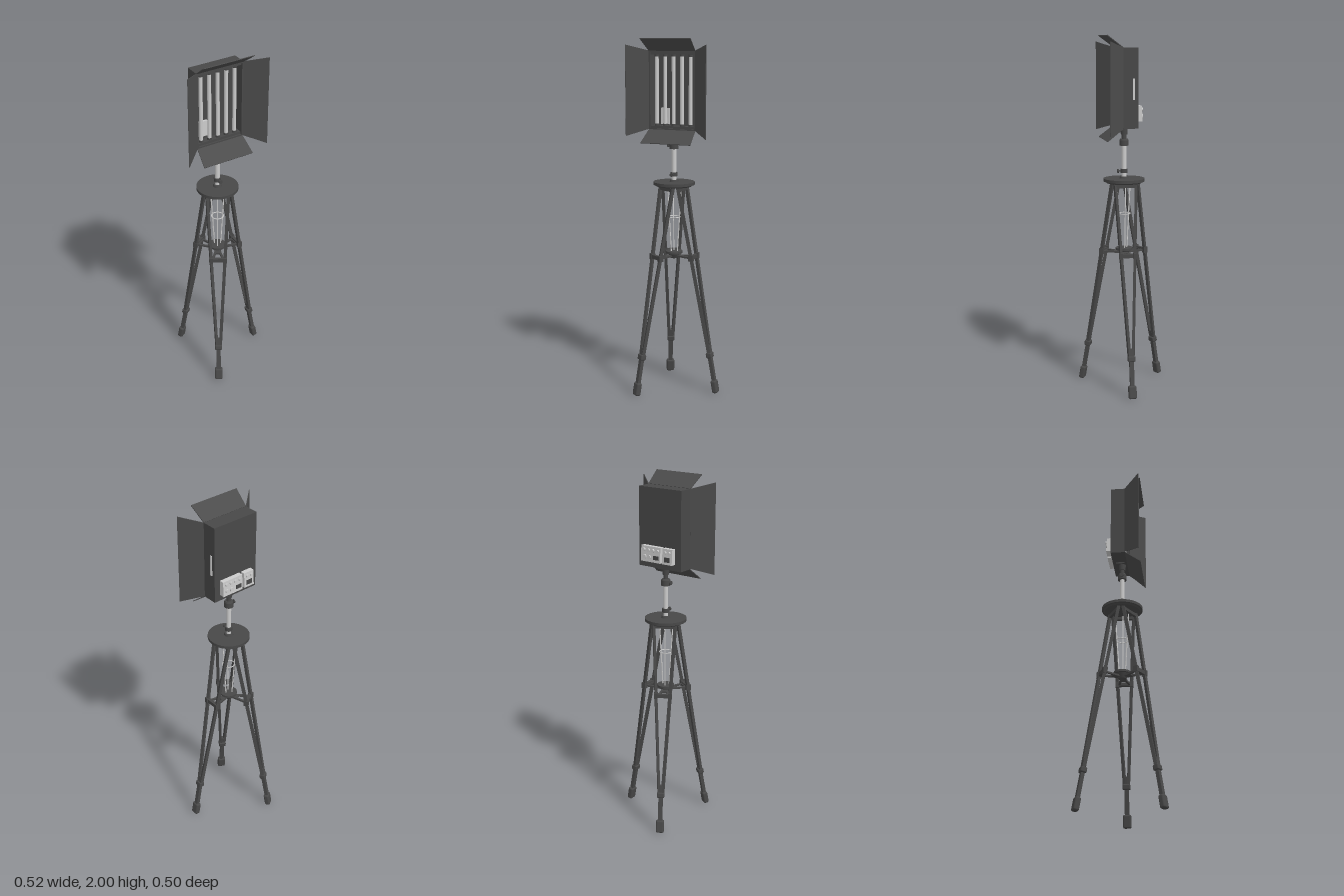
import * as THREE from 'three';
import { RoundedBoxGeometry } from 'three/addons/geometries/RoundedBoxGeometry.js';

const AXIS_X = -0.018; // the stand's centre line
const dark = new THREE.MeshStandardMaterial({ color: 0x484848 });
const doorMat = new THREE.MeshStandardMaterial({ color: 0x4c4c4c, side: THREE.DoubleSide });
const grey = new THREE.MeshStandardMaterial({ color: 0xcccccc });
const V = (x, y, z) => new THREE.Vector3(x, y, z);

function add(parent, name, geometry, material, x = 0, y = 0, z = 0) {
  const mesh = new THREE.Mesh(geometry, material);
  mesh.name = name;
  mesh.position.set(x, y, z);
  parent.add(mesh);
  return mesh;
}
const box = (parent, name, mat, w, h, d, x, y, z) =>
  add(parent, name, new THREE.BoxGeometry(w, h, d), mat, x, y, z);
const cyl = (parent, name, mat, rTop, rBottom, h, x, y, z, sides = 24) =>
  add(parent, name, new THREE.CylinderGeometry(rTop, rBottom, h, sides), mat, x, y, z);

// Straight piece whose length runs from a to b
function beam(parent, name, mat, a, b, w, d, radius = 0) {
  const len = a.distanceTo(b);
  const geo = radius ? new RoundedBoxGeometry(w, d, len, 3, radius) : new THREE.BoxGeometry(w, d, len);
  const mesh = add(parent, name, geo, mat);
  mesh.position.copy(a).lerp(b, 0.5);
  mesh.lookAt(b);
  return mesh;
}

// Point on the leg's centre line at height y, shifted sideways by t
const onLeg = (y, t = 0) => V(0.05 + (1.185 - y) * 0.181, y, t);

function makeLeg() {
  const leg = new THREE.Group();
  leg.name = 'leg';
  for (const s of [-1, 1]) {
    beam(leg, 'legRail', dark, onLeg(0.24, s * 0.011), onLeg(1.188, s * 0.06), 0.015, 0.018);
  }
  beam(leg, 'topCrossbar', dark, onLeg(1.172, -0.06), onLeg(1.172, 0.06), 0.016, 0.018);
  beam(leg, 'middleCrossbar', dark, onLeg(0.79, -0.043), onLeg(0.79, 0.043), 0.018, 0.022);
  for (const s of [-1, 1]) box(leg, 'railBracket', dark, 0.026, 0.034, 0.02, 0.122, 0.79, s * 0.04);
  // Sliding lower section, clamp and rubber foot
  beam(leg, 'lowerLeg', dark, onLeg(0.05), onLeg(0.28), 0.024, 0.02);
  beam(leg, 'legClamp', dark, onLeg(0.21), onLeg(0.24), 0.042, 0.034, 0.006);
  beam(leg, 'foot', dark, onLeg(0.005), onLeg(0.078), 0.046, 0.032, 0.01);
  // Flat spreader arm to the hub
  const arm = new THREE.Shape([[0.02, -0.014], [0.118, -0.036], [0.118, 0.036], [0.02, 0.014]]
    .map(([x, y]) => new THREE.Vector2(x, y)));
  const hole = new THREE.Path([[0.06, -0.01], [0.06, 0.01], [0.106, 0.022], [0.106, -0.022]]
    .map(([x, y]) => new THREE.Vector2(x, y)));
  arm.holes.push(hole);
  const plate = add(leg, 'spreaderArm',
    new THREE.ExtrudeGeometry(arm, { depth: 0.01, bevelEnabled: false }), dark, 0, 0.792, 0);
  plate.rotation.x = Math.PI / 2;
  // Thin inner brace
  beam(leg, 'innerBrace', grey, V(0.02, 0.81, 0), V(0.045, 1.185, 0), 0.005, 0.005);
  return leg;
}

function makeStand() {
  const stand = new THREE.Group();
  stand.name = 'stand';
  for (let i = 0; i < 3; i++) {
    const leg = makeLeg();
    leg.rotation.y = (i * Math.PI * 2) / 3;
    stand.add(leg);
  }
  cyl(stand, 'table', dark, 0.116, 0.116, 0.016, 0, 1.203, 0, 48);
  cyl(stand, 'tableUnderside', dark, 0.108, 0.1, 0.009, 0, 1.191, 0, 48);
  cyl(stand, 'spreaderHub', dark, 0.048, 0.048, 0.012, 0, 0.808, 0, 32);
  cyl(stand, 'spreaderHubBase', dark, 0.036, 0.022, 0.028, 0, 0.788, 0, 32);
  const ring = add(stand, 'braceRing', new THREE.TorusGeometry(0.034, 0.003, 6, 24), grey, 0, 1.01, 0);
  ring.rotation.x = Math.PI / 2;

  // Centre column with its two locking collars
  cyl(stand, 'column', grey, 0.0135, 0.0135, 0.21, 0, 1.305, 0);
  cyl(stand, 'columnBase', dark, 0.022, 0.026, 0.012, 0, 1.216, 0);
  cyl(stand, 'lowerCollar', dark, 0.02, 0.02, 0.022, 0, 1.253, 0);
  const lowKnob = new THREE.Group();
  lowKnob.name = 'lowerKnob';
  cyl(lowKnob, 'knobShaft', dark, 0.005, 0.005, 0.03, 0, 0.02, 0, 12);
  cyl(lowKnob, 'knobGrip', dark, 0.011, 0.011, 0.008, 0, 0.034, 0, 16);
  lowKnob.position.y = 1.253;
  lowKnob.rotation.x = Math.PI / 2;
  stand.add(lowKnob);
  cyl(stand, 'upperCollar', dark, 0.025, 0.025, 0.03, 0, 1.41, 0);
  cyl(stand, 'upperCollarRim', dark, 0.021, 0.025, 0.008, 0, 1.429, 0);
  const highKnob = lowKnob.clone();
  highKnob.name = 'upperKnob';
  highKnob.position.y = 1.413;
  highKnob.rotation.set(0, 0, Math.PI / 2);
  stand.add(highKnob);
  cyl(stand, 'spigot', dark, 0.013, 0.013, 0.08, 0, 1.465, 0);
  cyl(stand, 'headSocket', dark, 0.021, 0.018, 0.035, 0, 1.474, 0);
  box(stand, 'mountPlate', dark, 0.06, 0.008, 0.05, 0, 1.495, -0.01);
  return stand;
}

// Four-cornered flap between a hinge edge (a, b) and an outer edge (c, d)
function flap(parent, name, a, b, c, d) {
  const t = new THREE.Vector3().subVectors(b, a).cross(new THREE.Vector3().subVectors(c, a)).setLength(0.002);
  const geo = new THREE.BoxGeometry(1, 1, 1);
  const p = geo.attributes.position;
  for (let i = 0; i < p.count; i++) {
    const u = p.getX(i) + 0.5, v = p.getY(i) + 0.5;
    const q = a.clone().lerp(b, u).lerp(d.clone().lerp(c, u), v).addScaledVector(t, p.getZ(i) * 2);
    p.setXYZ(i, q.x, q.y, q.z);
  }
  geo.computeVertexNormals();
  add(parent, name, geo, doorMat);
}

function makeHead() {
  const head = new THREE.Group();
  head.name = 'lampHead';
  const W = 0.14, Y0 = 1.5, Y1 = 1.933, Z0 = -0.053, Z1 = 0.03;
  const ym = (Y0 + Y1) / 2, H = Y1 - Y0, D = Z1 - Z0, zm = (Z0 + Z1) / 2;

  // Open-fronted housing
  box(head, 'backWall', dark, 2 * W, H, 0.012, 0, ym, Z0 + 0.006);
  for (const s of [-1, 1]) {
    box(head, 'sideWall', dark, 0.008, H, D, s * (W - 0.004), ym, zm);
    box(head, 'endWall', dark, 2 * W, 0.008, D, 0, ym + s * (H / 2 - 0.004), zm);
    box(head, 'tubeHolder', dark, 2 * W - 0.016, 0.016, 0.04, 0, ym + s * (H / 2 - 0.014), 0);
  }
  // Five fluorescent tubes with end caps
  for (let i = -2; i <= 2; i++) {
    cyl(head, 'tube', grey, 0.0105, 0.0105, H - 0.05, i * 0.051, ym, 0.005, 16);
    for (const s of [-1, 1]) {
      cyl(head, 'tubeCap', dark, 0.0125, 0.0125, 0.014, i * 0.051, ym + s * (H / 2 - 0.026), 0.005, 16);
    }
  }
  box(head, 'innerBallast', grey, 0.05, 0.09, 0.012, -0.068, 1.572, -0.035);

  // Barn doors
  const F = 0.118;
  for (const s of [-1, 1]) {
    flap(head, 'sideDoor', V(s * W, Y0 + 0.003, Z1), V(s * W, Y1, Z1), V(s * 0.24, 1.965, F), V(s * 0.24, 1.467, F));
  }
  flap(head, 'topDoor', V(-W, Y1, Z1), V(W, Y1, Z1), V(0.15, 1.998, F), V(-0.15, 1.998, F));
  flap(head, 'bottomDoor', V(-W, Y0, Z1), V(W, Y0, Z1), V(0.15, 1.432, F), V(-0.15, 1.432, F));

  // Side strip
  box(head, 'sideHandle', grey, 0.005, 0.115, 0.012, W + 0.002, 1.712, -0.028);

  // Rear control boxes, slightly deeper at the bottom
  const panel = (name, w, x) => {
    const geo = new THREE.BoxGeometry(w, 0.085, 0.032);
    const p = geo.attributes.position;
    for (let i = 0; i < p.count; i++) if (p.getZ(i) < 0 && p.getY(i) > 0) p.setZ(i, -0.011);
    geo.computeVertexNormals();
    add(head, name, geo, grey, x, 1.578, Z0 - 0.015);
  };
  panel('controlPanel', 0.13, 0.041);
  panel('powerPanel', 0.065, -0.07);
  const knob = (name, r, x, y) => {
    const m = cyl(head, name, grey, r, r, 0.012, x, y, Z0 - 0.03, 16);
    m.rotation.x = Math.PI / 2;
  };
  for (let i = 0; i < 4; i++) knob('dimmerKnob', 0.009, -0.006 + i * 0.03, 1.6);
  for (let i = 0; i < 2; i++) knob('socket', 0.012, 0.05 + i * 0.03, 1.562);
  box(head, 'display', dark, 0.035, 0.022, 0.004, 0.003, 1.562, Z0 - 0.03);
  for (const x of [-0.085, -0.058]) knob('fuseHolder', 0.008, x, 1.6);
  box(head, 'powerInlet', dark, 0.036, 0.026, 0.004, -0.07, 1.562, Z0 - 0.03);
  return head;
}

export function createModel() {
  const model = new THREE.Group();
  model.name = 'studioLampOnTripod';
  model.add(makeStand(), makeHead());
  model.children.forEach((part) => { part.position.x = AXIS_X; });
  return model;
}
